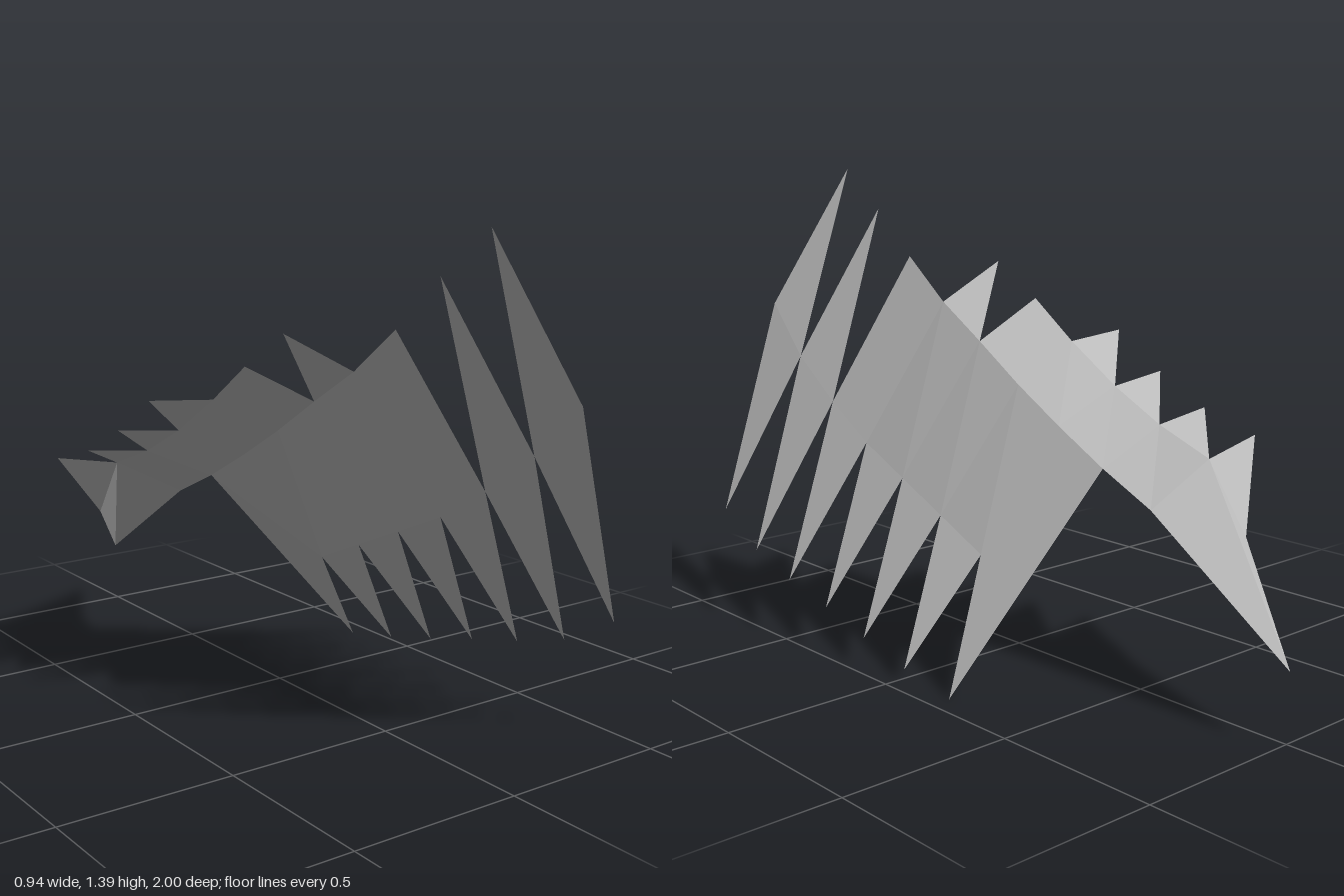
import * as THREE from 'three';

const grey = new THREE.MeshStandardMaterial({ color: 0xbcbcbc, side: THREE.DoubleSide });
grey.name = 'feather grey';

// Flat faceted mesh from polygons, each a fan of corner points.
function facets(name, polygons) {
  const points = [];
  for (const p of polygons)
    for (let i = 1; i < p.length - 1; i++) points.push(...p[0], ...p[i], ...p[i + 1]);
  const geometry = new THREE.BufferGeometry();
  geometry.setAttribute('position', new THREE.Float32BufferAttribute(points, 3));
  geometry.computeVertexNormals();
  const mesh = new THREE.Mesh(geometry, grey);
  mesh.name = name;
  return mesh;
}

export function createModel() {
  const wing = new THREE.Group();
  wing.name = 'wing';

  // Central ridge, from the front feather tops to the rear
  const ridge = [
    [-0.085, 1.4, 0.95], [-0.08, 1.275, 0.775], [-0.07, 1.13, 0.6], [-0.06, 1.0, 0.42],
    [-0.055, 0.895, 0.24], [-0.05, 0.785, 0.06], [-0.05, 0.685, -0.115],
    [-0.05, 0.59, -0.295], [-0.05, 0.505, -0.48],
  ];
  // Notches between the long feathers
  const notch = [
    [0.185, 0.965, 1.0], [0.205, 0.81, 0.825], [0.205, 0.685, 0.65], [0.205, 0.58, 0.475],
    [0.205, 0.5, 0.295], [0.205, 0.42, 0.115], [0.205, 0.34, -0.065],
  ];
  // Tips of the long feathers
  const tip = [
    [0.467, 0.335, 0.883], [0.467, 0.237, 0.707], [0.465, 0.182, 0.527], [0.46, 0.138, 0.343],
    [0.455, 0.09, 0.163], [0.45, 0.045, -0.02], [0.44, 0.01, -0.205],
  ];
  // Outer edge of the inner panel and its short spikes
  const edge = [
    [-0.28, 1.01, 0.235], [-0.265, 0.895, 0.055], [-0.265, 0.78, -0.13],
    [-0.265, 0.69, -0.31], [-0.265, 0.62, -0.5], [-0.245, 0.43, -0.655],
  ];
  const spike = [
    [-0.47, 0.912, 0.055], [-0.467, 0.803, -0.125], [-0.467, 0.715, -0.305], [-0.47, 0.66, -0.495],
  ];
  const tail = [-0.005, 0.2, -1.0];

  // Two separate diamond feathers at the front
  for (let i = 0; i < 2; i++)
    wing.add(facets('frontFeather', [
      [ridge[i], notch[i], notch[i + 1]],
      [notch[i], tip[i], notch[i + 1]],
    ]));

  // Joined panel carrying the remaining long feathers
  const panel = [];
  for (let i = 2; i < 6; i++) panel.push([ridge[i], notch[i], notch[i + 1], ridge[i + 1]]);
  panel.push([ridge[6], notch[6], ridge[7]]);
  wing.add(facets('longFeatherPanel', panel));
  for (let i = 2; i < 7; i++)
    wing.add(facets('longFeatherTip', [[notch[i], tip[i], notch[i + 1] || ridge[7]]]));

  // Inner panel on the far side of the ridge
  const inner = [];
  for (let i = 0; i < 4; i++) inner.push([edge[i], ridge[i + 4], ridge[i + 5], edge[i + 1]]);
  wing.add(facets('innerPanel', inner));

  // Short spikes along the outer edge, and a loose one at the front
  wing.add(facets('frontSpike', [[[-0.28, 1.115, 0.41], ridge[3], ridge[4]]]));
  spike.forEach((s, i) => wing.add(facets('shortSpike', [[s, edge[i + 1], edge[i + 2]]])));

  // Long folded point at the rear
  wing.add(facets('rearPoint', [[edge[4], ridge[8], tail], [edge[4], tail, edge[5]]]));

  return wing;
}
